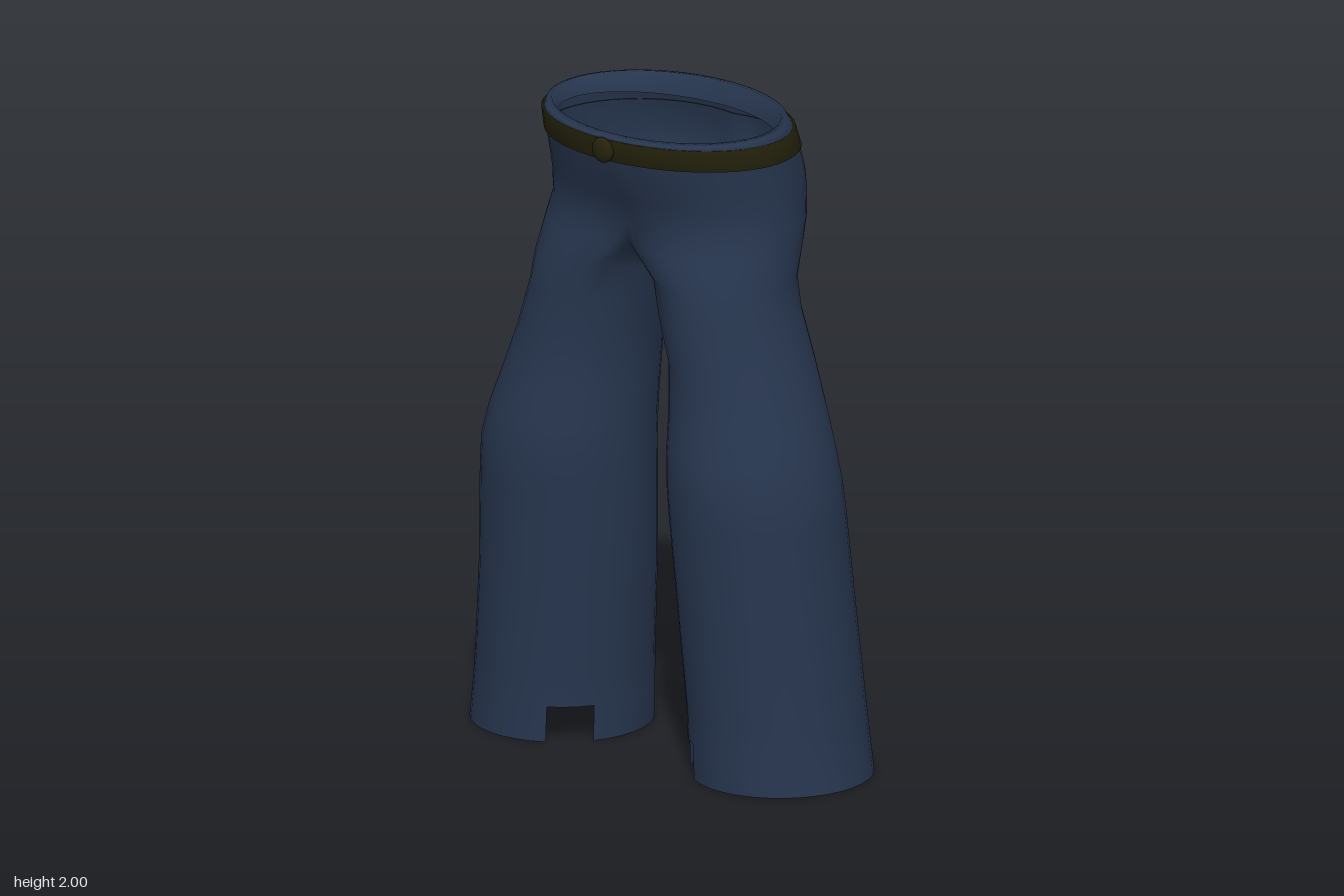
import * as THREE from 'three';
import { mergeVertices } from 'three/addons/utils/BufferGeometryUtils.js';

const COLS = 36, HALF = 13, OUTER = 26; // columns 0..26 run front, outside, back; the rest is the inseam
const DEG = Math.PI / 180;

// Leg rings, bottom up: y, outer x, inner x, front z, back z
const LEG = [
  [0, 0.695, 0.15, 0.265, -0.29],
  [0.11, 0.68, 0.148, 0.265, -0.285],
  [0.2, 0.67, 0.145, 0.265, -0.28],
  [0.5, 0.645, 0.12, 0.275, -0.26],
  [0.8, 0.625, 0.102, 0.294, -0.238],
  [0.9, 0.615, 0.098, 0.298, -0.23],
  [1.0, 0.588, 0.095, 0.288, -0.225],
  [1.1, 0.555, 0.09, 0.264, -0.22],
  [1.25, 0.502, 0.08, 0.24, -0.214],
  [1.4, 0.452, 0.042, 0.24, -0.208],
  [1.5, 0.435, 0.018, 0.234, -0.208],
];
// Hip rings, bottom up: y, outer x, lobe centre x front and back, front z, back z
const HIP = [
  [1.6, 0.43, 0.15, 0.15, 0.22, -0.268],
  [1.67, 0.422, 0.1, 0.14, 0.208, -0.298],
  [1.75, 0.417, 0.05, 0.13, 0.238, -0.316],
  [1.81, 0.415, 0.02, 0.11, 0.265, -0.32],
  [1.885, 0.412, 0, 0.08, 0.29, -0.305],
  [1.95, 0.41, 0, 0.04, 0.303, -0.288],
  [1.975, 0.405, 0, 0, 0.288, -0.265],
  [1.98, 0.387, 0, 0, 0.268, -0.242],
  [1.93, 0.37, 0, 0, 0.25, -0.225],
];

function legRing([y, out, inn, zf, zb]) {
  const c = (out + inn) / 2, r = (out - inn) / 2, zc = (zf + zb) / 2, rz = (zf - zb) / 2;
  return Array.from({ length: COLS }, (_, k) => {
    const a = (130 - 10 * k) * DEG;
    return [c + r * Math.cos(a), y, zc + rz * Math.sin(a)];
  });
}

// Half ring whose two ends meet the centre seam
function hipRing([y, out, cf, cb, zf, zb]) {
  const zc = (zf + zb) / 2, rz = (zf - zb) / 2;
  return Array.from({ length: OUTER + 1 }, (_, k) => {
    const c = k <= HALF ? cf : cb, r = out - c;
    const a = Math.acos(-c / r) * (1 - k / HALF);
    const x = k === 0 || k === OUTER ? 0 : c + r * Math.cos(a);
    const z = zc + rz * Math.sin(a);
    return [x, y > 1.96 ? y - 0.07 * z : y, z];
  });
}

// Skins rings on the left half and mirrors them to the right half
function skin(rings, isOpen = () => false) {
  const pos = [];
  const tri = (a, b, c) => {
    pos.push(...a, ...b, ...c);
    for (const p of [a, c, b]) pos.push(-p[0], p[1], p[2]);
  };
  for (let r = 0; r < rings.length - 1; r++) {
    const lo = rings[r], hi = rings[r + 1];
    const closed = lo.length === COLS && hi.length === COLS;
    for (let k = 0; k < (closed ? COLS : OUTER); k++) {
      if (isOpen(r, k)) continue;
      const n = (k + 1) % COLS;
      tri(lo[k], lo[n], hi[k]);
      tri(lo[n], hi[n], hi[k]);
    }
  }
  const g = new THREE.BufferGeometry();
  g.setAttribute('position', new THREE.Float32BufferAttribute(pos, 3));
  const merged = mergeVertices(g, 1e-5);
  merged.computeVertexNormals();
  return merged;
}

export function createModel() {
  const group = new THREE.Group();
  const cloth = new THREE.MeshStandardMaterial({ color: 0x27364f, side: THREE.DoubleSide });
  cloth.name = 'navyCloth';
  const leather = new THREE.MeshStandardMaterial({ color: 0x25230c, side: THREE.DoubleSide });
  leather.name = 'darkOliveLeather';
  const add = (name, geometry, material) => {
    const mesh = new THREE.Mesh(geometry, material);
    mesh.name = name;
    group.add(mesh);
    return mesh;
  };

  // Crotch: the lowest hip ring is closed by a sagging seam between the legs
  const hips = HIP.map(hipRing);
  const join = hips[0], front = join[0], back = join[OUTER];
  for (let k = OUTER + 1; k < COLS; k++) {
    const t = (k - OUTER) / (COLS - OUTER);
    join.push([0, front[1] - 0.08 * Math.sin(Math.PI * t), back[2] + (front[2] - back[2]) * t]);
  }

  // Trousers, with a notch in the inner front of each hem
  const notch = (r, k) => r === 0 && (k === 0 || k >= COLS - 2);
  add('trousers', skin([...LEG.map(legRing), ...hips], notch), cloth);

  // Belt band with a small thickness
  const band = (row, y, d) => {
    const [, out, cf, cb, zf, zb] = HIP[row];
    return hipRing([y, out + d, cf, cb, zf + d, zb - d]);
  };
  add('belt', skin([band(4, 1.884, -0.004), band(4, 1.884, 0.007), band(5, 1.951, 0.007), band(5, 1.951, -0.004)]), leather);

  // Round buckle
  const buckle = add('buckle', new THREE.SphereGeometry(0.039, 20, 12), leather);
  buckle.scale.z = 0.45;
  buckle.position.set(0, 1.918, 0.307);

  return group;
}
